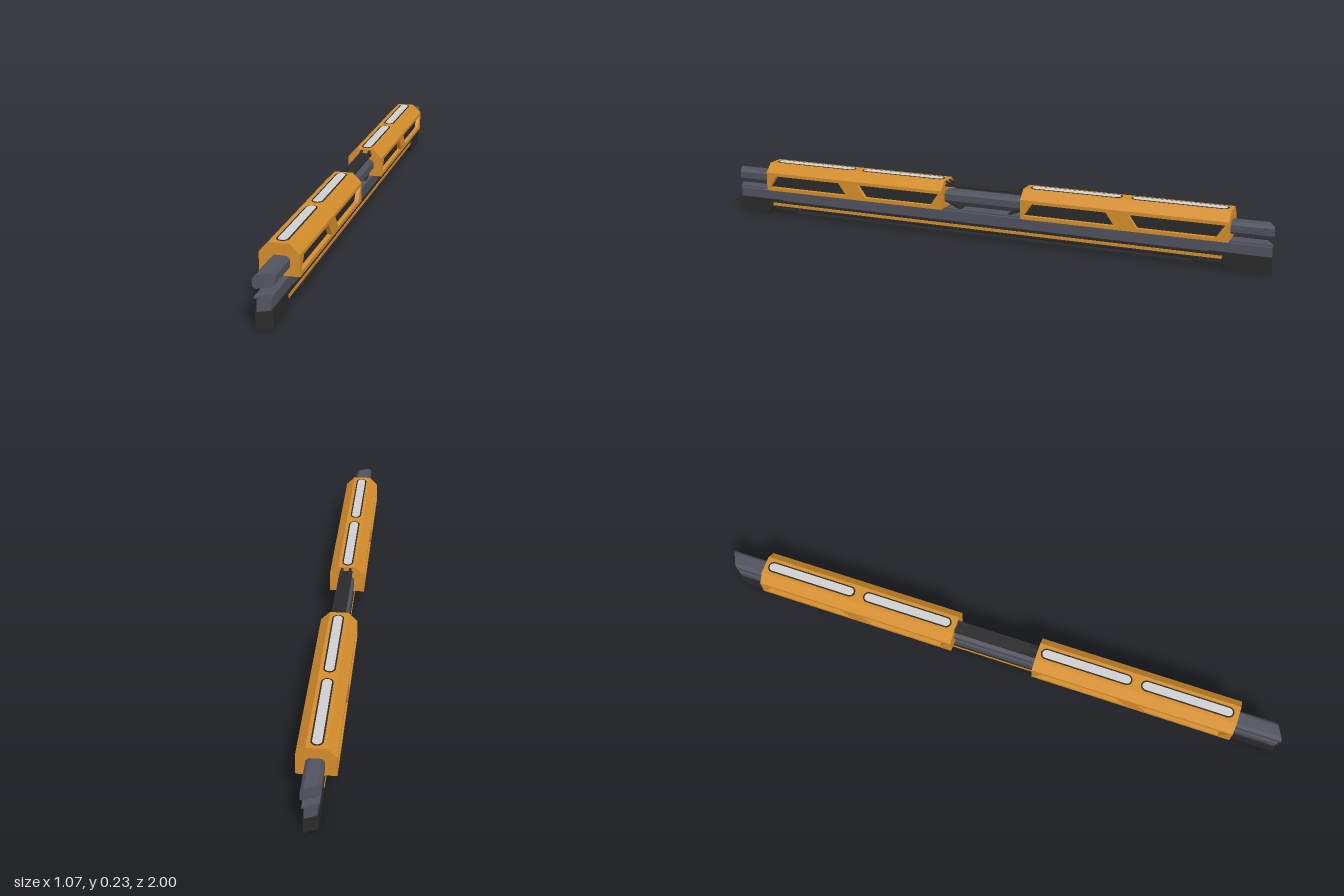
import * as THREE from 'three';

const mat = (name, color) => {
  const m = new THREE.MeshStandardMaterial({ color });
  m.name = name;
  return m;
};

export function createModel() {
  const orange = mat('orange paint', 0xd58e2b);
  const slate = mat('slate metal', 0x50535e);
  const black = mat('black rubber', 0x2a2a2b);
  const light = mat('light panel', 0xcfcfcf);

  // Local frame: x runs along the beam, z across it.
  const model = new THREE.Group();
  model.name = 'beamAssembly';
  const END = 1.118;

  const add = (parent, name, geo, material) => {
    const mesh = new THREE.Mesh(geo, material);
    mesh.name = name;
    parent.add(mesh);
    return mesh;
  };
  const poly = pts => new THREE.Shape(pts.map(p => new THREE.Vector2(...p)));
  const extrude = (shape, depth) =>
    new THREE.ExtrudeGeometry(shape, { depth, bevelEnabled: false, curveSegments: 6 });
  // Prism along x from a symmetric half profile of [z, y] points, listed bottom to top.
  const prism = (half, length) => {
    const mirrored = half.map(([z, y]) => [-z, y]).reverse();
    return extrude(poly([...half, ...mirrored]), length)
      .translate(0, 0, -length / 2).rotateY(Math.PI / 2);
  };
  // Slanted cut on the outer ends of the long members.
  const mitre = geo => {
    const p = geo.attributes.position;
    for (let i = 0; i < p.count; i++)
      if (Math.abs(p.getX(i)) > 1.1) p.setX(i, p.getX(i) + 0.5 * p.getZ(i));
    geo.computeVertexNormals();
    return geo;
  };
  const box = (parent, name, x0, x1, y0, y1, width, material) => {
    const mesh = add(parent, name, new THREE.BoxGeometry(x1 - x0, y1 - y0, width), material);
    mesh.position.set((x0 + x1) / 2, (y0 + y1) / 2, 0);
    return mesh;
  };
  // Flat bar between two points in the x-y plane.
  const strut = (parent, name, a, b, thick, width, material) => {
    const dx = b[0] - a[0], dy = b[1] - a[1];
    const mesh = add(parent, name, new THREE.BoxGeometry(Math.hypot(dx, dy), thick, width), material);
    mesh.position.set((a[0] + b[0]) / 2, (a[1] + b[1]) / 2, 0);
    mesh.rotation.z = Math.atan2(dy, dx);
    return mesh;
  };

  // Upper beam with chamfered corners
  add(model, 'upperBeam', mitre(prism(
    [[0.024, 0.137], [0.032, 0.146], [0.032, 0.172], [0.021, 0.183]], 2 * END)), slate);

  // Lower rail: body, neck and flange
  add(model, 'lowerRail', mitre(prism(
    [[0.021, 0.06], [0.021, 0.1], [0.014, 0.104], [0.028, 0.106], [0.028, 0.112]], 2 * END)), slate);

  // Cabin modules
  const windows = [
    [[-0.385, 0.128], [-0.025, 0.128], [-0.06, 0.177], [-0.352, 0.177]],
    [[0.06, 0.128], [0.352, 0.128], [0.385, 0.177], [0.025, 0.177]],
  ];
  const stadium = (x0, x1, r) => {
    const s = new THREE.Shape();
    s.moveTo(x0 + r, -r);
    s.lineTo(x1 - r, -r);
    s.absarc(x1 - r, 0, r, -Math.PI / 2, Math.PI / 2, false);
    s.lineTo(x0 + r, r);
    s.absarc(x0 + r, 0, r, Math.PI / 2, Math.PI * 1.5, false);
    return s;
  };
  const plate = (shape, t, y) => extrude(shape, t).rotateX(-Math.PI / 2).translate(0, y, 0);

  for (const centre of [-0.552, 0.578]) {
    const cabin = new THREE.Group();
    cabin.name = 'cabin';
    cabin.position.set(centre, 0, -0.003);
    model.add(cabin);
    add(cabin, 'cabinBody', prism(
      [[0.051, 0.114], [0.051, 0.19], [0.069, 0.19], [0.035, 0.2245]], 0.798), orange);

    // Side walls with recessed windows, repeated by a half turn
    for (const turn of [0, Math.PI]) {
      const side = new THREE.Group();
      side.name = 'cabinSide';
      side.rotation.y = turn;
      cabin.add(side);
      const wall = poly([[-0.399, 0.114], [0.399, 0.114], [0.399, 0.19], [-0.399, 0.19]]);
      windows.forEach(w => wall.holes.push(new THREE.Path(w.map(p => new THREE.Vector2(...p)))));
      add(side, 'sideWall', extrude(wall, 0.018).translate(0, 0, 0.051), orange);
      windows.forEach(w =>
        add(side, 'windowPane', extrude(poly(w), 0.002).translate(0, 0, 0.0505), black));
    }

    // Roof light strips
    for (const [x0, x1] of [[-0.38, -0.015], [0.02, 0.385]]) {
      add(cabin, 'roofStripRim', plate(stadium(x0, x1, 0.022), 0.002, 0.2235), black);
      add(cabin, 'roofStrip', plate(stadium(x0 + 0.006, x1 - 0.006, 0.0165), 0.002, 0.2243), light);
    }
  }

  // Connector between the cabins
  const link = new THREE.Group();
  link.name = 'cabinLink';
  link.position.x = 0.013;
  model.add(link);
  box(link, 'linkDeck', -0.168, 0.168, 0.2, 0.207, 0.05, black);
  for (const s of [-1, 1]) {
    strut(link, 'lowerBrace', [s * 0.168, 0.142], [s * 0.1, 0.112], 0.008, 0.04, black);
    for (const z of [-0.016, 0.016])
      strut(link, 'upperHook', [s * 0.168, 0.218], [s * 0.13, 0.205], 0.006, 0.01, black).position.z = z;
  }

  // Feet, underside strip and runner
  box(model, 'underStrip', -0.95, 0.95, 0.038, 0.05, 0.054, orange);
  box(model, 'underStripTop', -0.95, 0.95, 0.05, 0.06, 0.05, black);
  box(model, 'underStripBase', -0.945, 0.945, 0.031, 0.038, 0.05, black);
  box(model, 'runner', -0.84, 0.84, 0.006, 0.013, 0.03, black);
  for (const s of [-1, 1]) {
    const pts = [[0.984, 0], [END, 0], [END, 0.064], [0.9, 0.064], [0.915, 0.05]];
    const foot = poly(pts.map(([x, y]) => [s * x, y]));
    add(model, 'foot', mitre(extrude(foot, 0.05).translate(0, 0, -0.025)), black);
    strut(model, 'runnerBracket', [s * 0.86, 0.034], [s * 0.835, 0.008], 0.012, 0.03, black);
    strut(model, 'runnerTail', [s * 0.84, 0.018], [s * 0.99, 0.018], 0.006, 0.02, black);
  }

  model.rotation.y = Math.atan(2);
  const root = new THREE.Group();
  root.name = 'model';
  root.add(model);
  return root;
}
